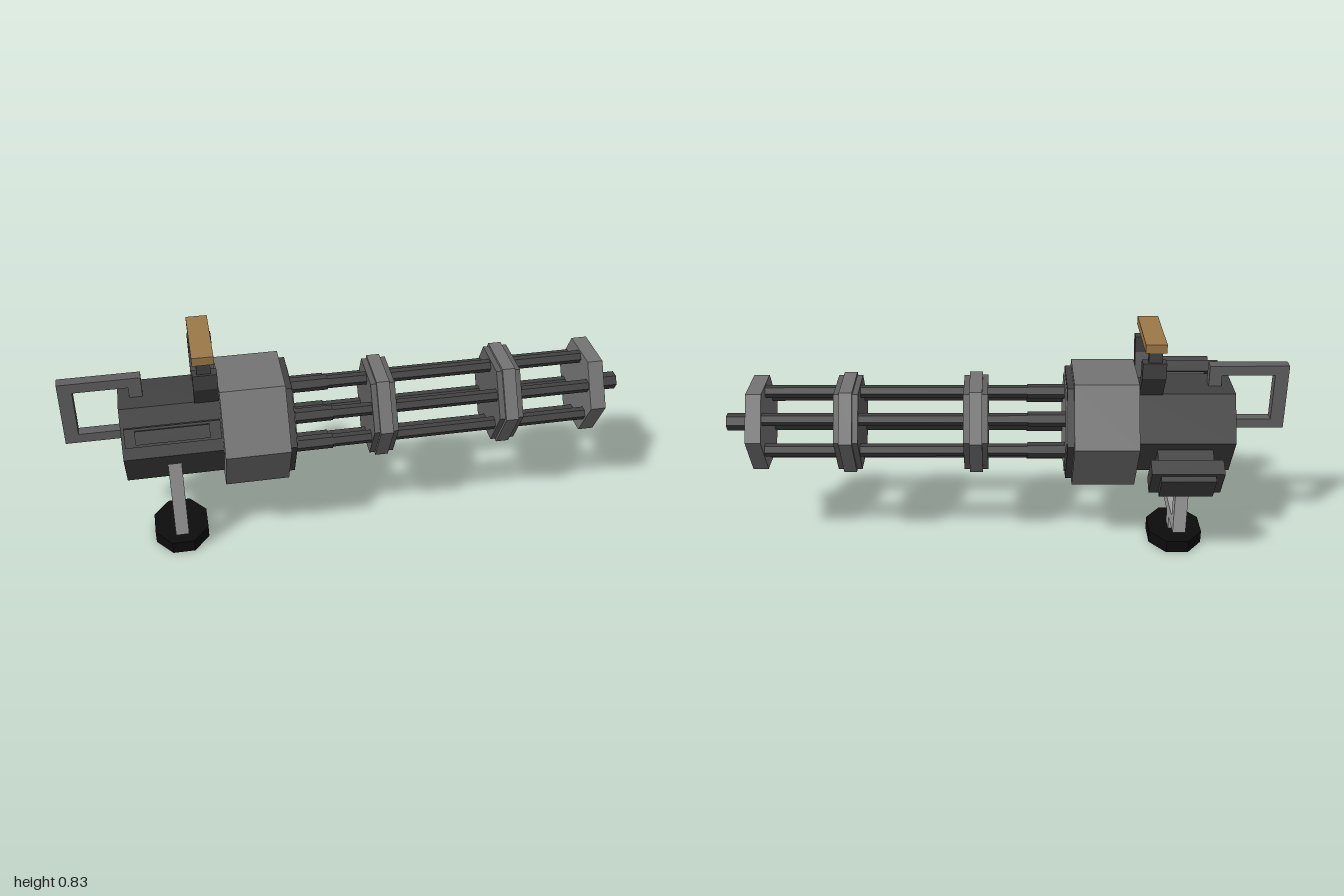
import * as THREE from 'three';

const CY = 0.478, CZ = 0.006; // main axis, running along x

const mat = (color) => new THREE.MeshStandardMaterial({ color, flatShading: true });
const dark = mat(0x424242), mid = mat(0x606060), light = mat(0x747474);
const pale = mat(0xa0a0a0), black = mat(0x0c0c0c), wood = mat(0x9c7848);

export function createModel() {
  const model = new THREE.Group();

  const add = (name, geo, material, parent = model) => {
    const mesh = new THREE.Mesh(geo, material);
    mesh.name = name;
    parent.add(mesh);
    return mesh;
  };

  // box from min / max pairs
  const box = (name, [x0, x1], [y0, y1], [z0, z1], material, parent) => {
    const geo = new THREE.BoxGeometry(x1 - x0, y1 - y0, z1 - z0);
    geo.translate((x0 + x1) / 2, (y0 + y1) / 2, (z0 + z1) / 2);
    return add(name, geo, material, parent);
  };

  // six-sided prism along x, corners pointing to +z and -z
  const hex = (name, x0, x1, r, material, y = CY, z = CZ) => {
    const geo = new THREE.CylinderGeometry(r, r, x1 - x0, 6);
    geo.rotateZ(-Math.PI / 2);
    geo.translate((x0 + x1) / 2, y, z);
    return add(name, geo, material);
  };

  // outline in (z, y), extruded along x
  const profile = (name, points, x0, x1, material, holes = []) => {
    const toShape = (p) => p.map(([z, y]) => new THREE.Vector2(-z, y));
    const shape = new THREE.Shape(toShape(points));
    holes.forEach((h) => shape.holes.push(new THREE.Path(toShape(h))));
    const geo = new THREE.ExtrudeGeometry(shape, { depth: x1 - x0, bevelEnabled: false });
    geo.rotateY(Math.PI / 2);
    geo.translate(x0, 0, 0);
    return add(name, geo, material);
  };

  // body
  hex('rearBody', -0.805, -0.46, 0.174, dark);
  hex('housing', -0.465, -0.24, 0.227, light);
  hex('housingCollar', -0.24, -0.217, 0.203, dark);
  hex('housingFace', -0.22, -0.212, 0.178, light);

  // barrel clamps and end plate
  for (const x of [0.102, 0.555]) {
    hex('barrelClamp', x - 0.043, x + 0.043, 0.17, mid);
    hex('clampBand', x - 0.023, x + 0.023, 0.181, light);
  }
  hex('endPlate', 0.85, 0.905, 0.17, light);

  // ring of six barrels
  for (let i = 0; i < 6; i++) {
    const a = (i * Math.PI) / 3;
    const y = CY + 0.12 * Math.cos(a), z = CZ + 0.12 * Math.sin(a);
    hex('barrel', -0.22, 0.86, 0.023, dark, y, z);
    hex('barrelSleeve', -0.22, -0.08, 0.027, dark, y, z);
  }

  // muzzle
  hex('muzzleBase', 0.9, 0.918, 0.051, dark);
  hex('muzzle', 0.91, 1.0, 0.032, dark);
  hex('muzzleTip', 0.995, 1.0005, 0.022, mid);

  // rear grip loop in the x-y plane
  const grip = new THREE.Group();
  grip.name = 'rearGrip';
  model.add(grip);
  const gz = [CZ - 0.02, CZ + 0.02];
  box('gripTop', [-1, -0.72], [0.668, 0.704], gz, mid, grip);
  box('gripBack', [-1, -0.952], [0.464, 0.668], gz, mid, grip);
  box('gripBottom', [-0.952, -0.79], [0.464, 0.498], gz, mid, grip);
  box('gripFoot', [-0.765, -0.72], [0.61, 0.668], gz, mid, grip);

  // carrying handle
  box('handleBar', [-0.548, -0.475], [0.802, 0.832], [CZ - 0.137, CZ + 0.137], wood);
  for (const s of [1, -1]) {
    const pts = [[0.04, 0.61], [0.08, 0.61], [0.142, 0.71], [0.142, 0.765], [0.101, 0.765], [0.101, 0.708]];
    profile('handleArm', pts.map(([z, y]) => [CZ + s * z, y]), -0.55, -0.468, dark);
    const z = CZ + s * 0.122;
    box('handlePost', [-0.535, -0.488], [0.76, 0.805], [z - 0.011, z + 0.011], dark);
  }

  // groups whose local +z points outward from the main axis
  const mount = (name, degrees) => {
    const g = new THREE.Group();
    g.name = name;
    g.position.set(0, CY, CZ);
    g.rotation.x = THREE.MathUtils.degToRad(degrees);
    model.add(g);
    return g;
  };

  // open sleeve on the upper left face of the body
  const feed = mount('sideSleeve', -30);
  box('sleeveBase', [-0.735, -0.525], [-0.03, 0.021], [0.14, 0.208], mid, feed);
  const fx = [-0.79, -0.473];
  box('sleeveInnerWall', fx, [-0.036, 0.027], [0.206, 0.211], dark, feed);
  box('sleeveOuterWall', fx, [-0.036, 0.027], [0.251, 0.256], dark, feed);
  box('sleeveUpperWall', fx, [0.022, 0.027], [0.211, 0.251], dark, feed);
  box('sleeveLowerWall', fx, [-0.036, -0.031], [0.211, 0.251], dark, feed);
  box('sleeveCover', [-0.755, -0.51], [-0.026, 0.019], [0.256, 0.281], dark, feed);

  // box on the opposite lower face
  const pack = mount('sideBox', 150);
  box('boxBase', [-0.73, -0.535], [-0.045, 0.045], [0.14, 0.205], dark, pack);
  box('boxBody', [-0.76, -0.507], [-0.061, 0.061], [0.2, 0.26], dark, pack);
  box('boxLid', [-0.73, -0.54], [-0.048, 0.052], [0.26, 0.282], dark, pack);

  // stand: U-shaped fork, post and eight-sided foot
  const w = 0.137, v = 0.09;
  profile('standFork', [
    [CZ - w, 0.42], [CZ - w, 0.094], [CZ + w, 0.094], [CZ + w, 0.42],
    [CZ + v, 0.42], [CZ + v, 0.137], [CZ - v, 0.137], [CZ - v, 0.42],
  ], -0.66, -0.613, pale);
  box('standPost', [-0.66, -0.613], [0.04, 0.096], [CZ - 0.029, CZ + 0.029], pale);
  const foot = new THREE.CylinderGeometry(1, 1, 0.046, 8);
  foot.rotateY(Math.PI / 8);
  const k = Math.cos(Math.PI / 8);
  foot.scale(0.097 / k, 1, 0.124 / k);
  foot.translate(-0.637, 0.023, CZ);
  add('standFoot', foot, black);

  return model;
}
